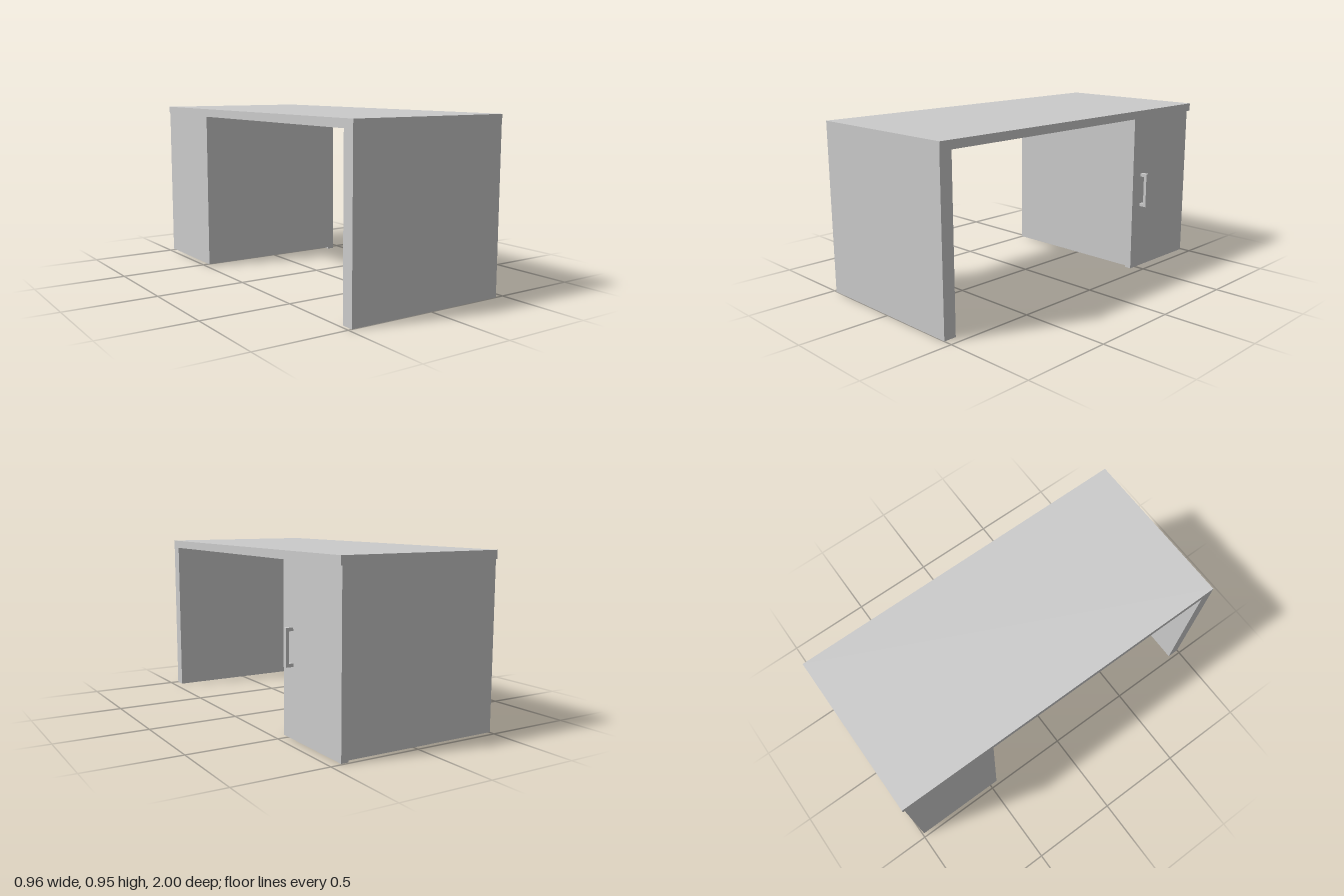
import * as THREE from 'three';

const material = new THREE.MeshStandardMaterial({ color: 0xcccccc });

// Box given by its extents along each axis
function panel(name, [x0, x1], [y0, y1], [z0, z1]) {
  const mesh = new THREE.Mesh(new THREE.BoxGeometry(x1 - x0, y1 - y0, z1 - z0), material);
  mesh.position.set((x0 + x1) / 2, (y0 + y1) / 2, (z0 + z1) / 2);
  mesh.name = name;
  return mesh;
}

export function createModel() {
  const desk = new THREE.Group();
  desk.name = 'desk';

  const underside = 0.905;
  const doorFace = 0.438;
  const doorBack = 0.398;
  const cabinetZ = [-0.99, -0.455];

  // Worktop and the panel leg that carries one end
  desk.add(panel('worktop', [-0.48, 0.452], [underside, 0.95], [-1, 1]));
  desk.add(panel('panelLeg', [-0.48, 0.45], [0, underside], [0.93, 1]));

  // Cabinet under the other end; its door hangs slightly lower
  desk.add(panel('cabinetBody', [-0.48, doorBack], [0.01, underside], cabinetZ));
  desk.add(panel('cabinetDoor', [doorBack, doorFace], [0, underside], cabinetZ));

  // Bracket-shaped door handle
  const handle = new THREE.Group();
  handle.name = 'doorHandle';
  const handleZ = [-0.553, -0.528];
  handle.add(panel('handleGrip', [0.462, 0.48], [0.374, 0.573], handleZ));
  for (const y of [0.374, 0.555]) {
    handle.add(panel('handlePost', [doorFace, 0.462], [y, y + 0.018], handleZ));
  }
  desk.add(handle);

  return desk;
}
